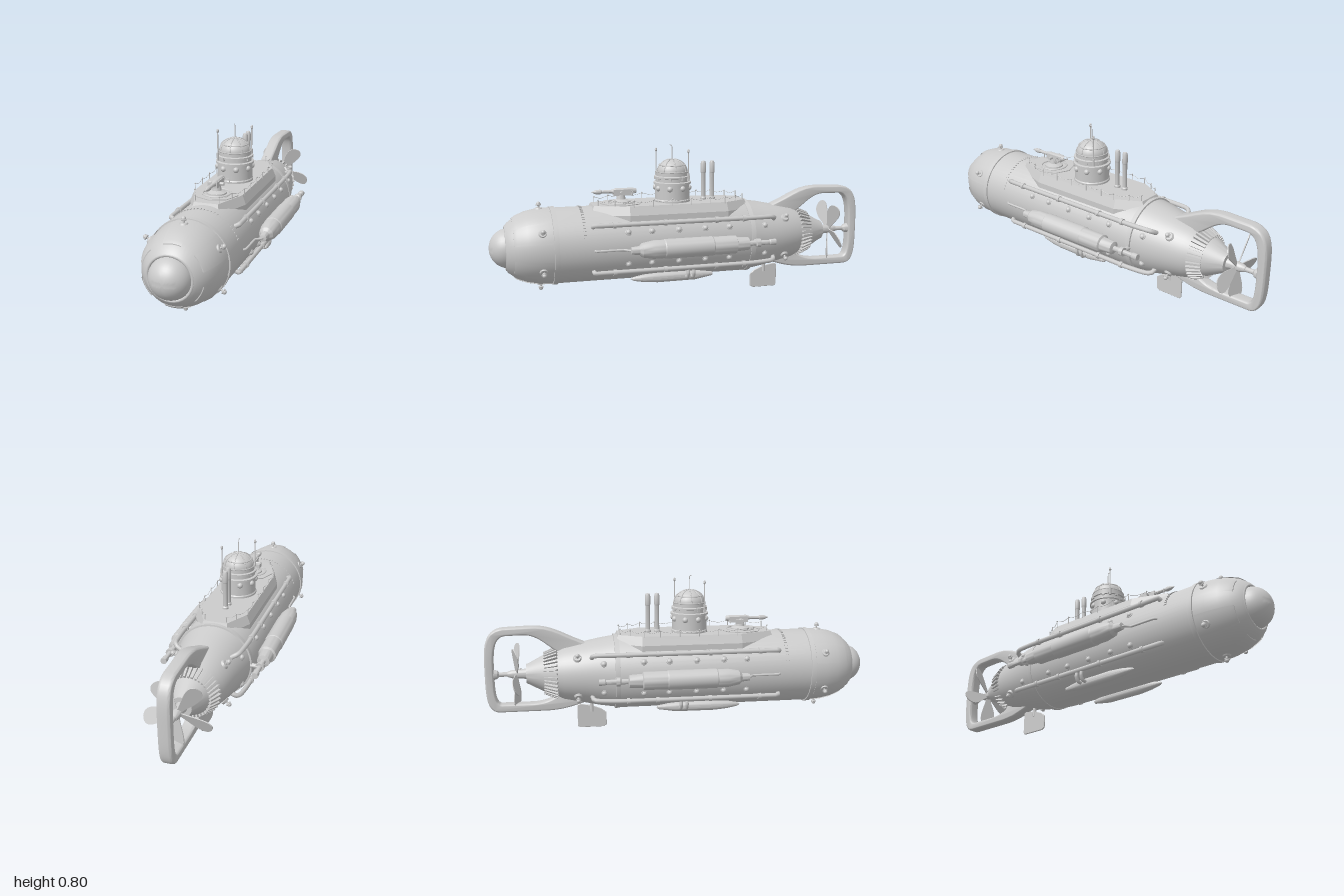
import * as THREE from 'three';
import { toCreasedNormals } from 'three/addons/utils/BufferGeometryUtils.js';

const AXIS = 0.305; // height of the hull axis
const R = 0.192; // hull radius
const mat = new THREE.MeshStandardMaterial({ color: 0xcccccc });
const matDouble = new THREE.MeshStandardMaterial({ color: 0xcccccc, side: THREE.DoubleSide });
const V = (x, y, z) => new THREE.Vector3(x, y, z);
const V2 = (p) => new THREE.Vector2(p[0], p[1]);

export function createModel() {
  const model = new THREE.Group();
  model.name = 'submarine';

  const add = (name, geo, x = 0, y = 0, z = 0, parent = model, m = mat) => {
    const mesh = new THREE.Mesh(geo, m);
    mesh.name = name;
    mesh.position.set(x, y, z);
    parent.add(mesh);
    return mesh;
  };
  const lathe = (pts, seg = 32, start = 0, len = Math.PI * 2) =>
    toCreasedNormals(new THREE.LatheGeometry(pts.map(V2), seg, start, len), 0.5);
  // profile of [radius, z], z ascending, turned about the z axis
  const latheZ = (pts, seg, start, len) => lathe(pts, seg, start, len).rotateX(Math.PI / 2);
  const tube = (name, pts, r, seg = 40, parent = model) => {
    const curve = new THREE.CatmullRomCurve3(pts.map((p) => V(...p)), false, 'catmullrom', 0.2);
    return add(name, new THREE.TubeGeometry(curve, seg, r, 8), 0, 0, 0, parent);
  };
  const rod = (name, a, b, r, parent = model) => {
    const A = V(...a), d = V(...b).sub(A);
    const mesh = add(name, new THREE.CylinderGeometry(r, r, d.length(), 10), 0, 0, 0, parent);
    mesh.position.copy(A).addScaledVector(d, 0.5);
    mesh.quaternion.setFromUnitVectors(V(0, 1, 0), d.normalize());
    return mesh;
  };
  // group on the hull skin whose local y points outward
  const onHull = (name, deg, r, z) => {
    const g = new THREE.Group(), t = THREE.MathUtils.degToRad(deg);
    g.name = name;
    g.position.set(r * Math.cos(t), AXIS + r * Math.sin(t), z);
    g.rotation.z = t - Math.PI / 2;
    model.add(g);
    return g;
  };

  // Pressure hull, bow window and bands
  add('hull', latheZ([[0, -0.79], [0.05, -0.79], [0.056, -0.775], [0.096, -0.7], [0.1, -0.69], [0.118, -0.64], [0.137, -0.6],
    [0.158, -0.5], [0.175, -0.42], [0.188, -0.335], [R, -0.32], [R, 0.69], [0.187, 0.76], [0.175, 0.82], [0.155, 0.87],
    [0.125, 0.91], [0.112, 0.92], [0.108, 0.915], [0, 0.915]], 48), 0, AXIS, 0);
  const bow = [];
  for (let i = 0; i <= 12; i++) {
    const a = (i / 12) * Math.PI / 2;
    bow.push([0.1 * Math.cos(a), 0.905 + 0.095 * Math.sin(a)]);
  }
  add('bowWindow', latheZ(bow, 32), 0, AXIS, 0);
  add('bowWindowFrame', new THREE.TorusGeometry(0.106, 0.008, 8, 32), 0, AXIS, 0.916);
  for (const [z, r] of [[0.685, R], [-0.33, 0.189]]) {
    add('hullBand', latheZ([[r - 0.01, -0.014], [r + 0.006, -0.012], [r + 0.006, 0.012], [r - 0.01, 0.014]], 48), 0, AXIS, z);
  }

  // Raised bow panels with a lamp on each
  const addLamp = (deg, r, z, s) => {
    const g = onHull('lamp', deg, r, z);
    add('lampBase', new THREE.CylinderGeometry(0.017 * s, 0.023 * s, 0.01, 16), 0, 0.003, 0, g);
    add('lampStem', new THREE.CylinderGeometry(0.005, 0.005, 0.024, 8), 0, 0.016, 0, g);
    add('lampHead', new THREE.SphereGeometry(0.011 * s, 12, 8), 0, 0.027, 0, g);
    add('lampCollar', new THREE.TorusGeometry(0.011 * s, 0.003, 6, 16).rotateX(Math.PI / 2), 0, 0.022, 0, g);
  };
  for (let i = 0; i < 6; i++) {
    const deg = 30 + i * 60, width = 0.58;
    const phi = THREE.MathUtils.degToRad(deg) + Math.PI / 2 - width / 2;
    add('bowPanel', latheZ([[0.188, 0.7], [0.194, 0.7], [0.192, 0.76], [0.18, 0.82], [0.16, 0.87], [0.148, 0.885], [0.14, 0.885]],
      8, phi, width), 0, AXIS, 0, model, matDouble);
    addLamp(deg, 0.189, 0.75, 1);
  }
  for (const deg of [40, 140, 220, 320]) addLamp(deg, 0.155, -0.53, 1);

  // Rivet rows and hull portholes
  for (let i = 0; i <= 28; i++) {
    const g = onHull('rivet', 20 + i * 5, R, 0.545);
    add('rivetHead', new THREE.BoxGeometry(0.005, 0.008, 0.014), 0, 0, 0, g);
  }
  for (const z of [0.33, 0.21, 0.07, -0.07, -0.2, -0.4]) {
    for (const deg of [25, 155, -25, -155]) {
      const g = onHull('porthole', deg, z < -0.33 ? 0.177 : R, z);
      add('portholeGlass', new THREE.SphereGeometry(0.014, 12, 8), 0, 0, 0, g);
      add('portholeRim', new THREE.TorusGeometry(0.014, 0.003, 6, 16).rotateX(Math.PI / 2), 0, 0.001, 0, g);
    }
  }

  // Stern ribs
  for (let i = 0; i < 36; i++) {
    const g = onHull('sternRib', i * 10, 0.115, -0.665);
    add('rib', new THREE.BoxGeometry(0.009, 0.018, 0.072), 0, 0, 0, g).rotation.x = -0.4;
  }

  // Propeller
  add('propellerHub', latheZ([[0, -0.89], [0.014, -0.885], [0.022, -0.86], [0.024, -0.81], [0.03, -0.78]], 20), 0, AXIS, 0);
  rod('propellerShaft', [0, AXIS, -0.78], [0, AXIS, -0.98], 0.012);
  const bladeShape = new THREE.Shape();
  bladeShape.moveTo(-0.01, 0);
  bladeShape.bezierCurveTo(-0.012, 0.05, -0.045, 0.08, -0.042, 0.13);
  bladeShape.bezierCurveTo(-0.04, 0.175, 0.025, 0.19, 0.036, 0.15);
  bladeShape.bezierCurveTo(0.045, 0.11, 0.012, 0.05, 0.01, 0);
  const bladeGeo = new THREE.ExtrudeGeometry(bladeShape, { depth: 0.005, bevelEnabled: false, curveSegments: 10 }).translate(0, 0, -0.0025);
  for (let i = 0; i < 5; i++) {
    const g = new THREE.Group();
    g.name = 'propellerBlade';
    g.position.set(0, AXIS, -0.84);
    g.rotation.z = Math.PI + (i * Math.PI * 2) / 5;
    add('blade', bladeGeo, 0, 0, 0, g).rotation.y = 0.4;
    model.add(g);
  }

  // Propeller guard: a side outline of [z, y] with an opening, extruded across x
  const guard = new THREE.Shape();
  guard.moveTo(-0.45, 0.44);
  guard.bezierCurveTo(-0.6, 0.49, -0.64, 0.545, -0.76, 0.545);
  guard.lineTo(-0.9, 0.54);
  guard.bezierCurveTo(-0.99, 0.53, -0.99, 0.45, -0.99, 0.33);
  guard.bezierCurveTo(-0.99, 0.2, -0.99, 0.12, -0.93, 0.118);
  guard.lineTo(-0.7, 0.118);
  guard.bezierCurveTo(-0.6, 0.118, -0.55, 0.14, -0.45, 0.17);
  const opening = new THREE.Path();
  opening.moveTo(-0.6, 0.41);
  opening.bezierCurveTo(-0.68, 0.46, -0.72, 0.52, -0.8, 0.52);
  opening.lineTo(-0.89, 0.518);
  opening.bezierCurveTo(-0.955, 0.51, -0.963, 0.43, -0.963, 0.33);
  opening.bezierCurveTo(-0.963, 0.22, -0.963, 0.145, -0.92, 0.142);
  opening.lineTo(-0.76, 0.142);
  opening.bezierCurveTo(-0.68, 0.145, -0.64, 0.17, -0.6, 0.21);
  guard.holes.push(opening);
  const guardGeo = new THREE.ExtrudeGeometry(guard, { depth: 0.034, bevelSize: 0.009, bevelThickness: 0.014, bevelSegments: 4, curveSegments: 14 });
  add('propellerGuard', toCreasedNormals(guardGeo.translate(0, 0, -0.017).rotateY(-Math.PI / 2), 0.7));
  add('shaftBearing', latheZ([[0, -0.03], [0.024, -0.02], [0.03, 0], [0.022, 0.03], [0.012, 0.04]], 20), 0, AXIS, -0.968);

  // Rudder below the hull
  const rudder = new THREE.Shape([[-0.385, 0.015], [-0.4, 0.006], [-0.525, 0.006], [-0.533, 0.015], [-0.533, 0.125],
    [-0.52, 0.13], [-0.46, 0.12], [-0.41, 0.1], [-0.385, 0.08]].map(V2));
  add('rudder', new THREE.ExtrudeGeometry(rudder, { depth: 0.005, bevelSize: 0.002, bevelThickness: 0.002, bevelSegments: 1 })
    .translate(0, 0, -0.0025).rotateY(-Math.PI / 2));
  rod('rudderPost', [0, 0.09, -0.46], [0, 0.2, -0.46], 0.01);

  // Deck casing
  const deck = [[0.06, 0.48], [0.125, 0.31], [0.125, -0.2], [0.06, -0.32]];
  const outline = [...deck, ...deck.map(([x, z]) => [-x, z]).reverse()];
  const deckGeo = new THREE.ExtrudeGeometry(new THREE.Shape(outline.map(([x, z]) => V2([x, -z]))),
    { depth: 0.03, bevelSize: 0.018, bevelThickness: 0.045, bevelSegments: 1 });
  add('deck', deckGeo.rotateX(-Math.PI / 2), 0, 0.431, 0);
  add('deckPlate', new THREE.CylinderGeometry(0.11, 0.11, 0.006, 8), 0, 0.507, 0.33);

  // Deck railing on both sides
  for (const s of [-1, 1]) {
    const posts = [[0.06, 0.46], [0.095, 0.38], [0.128, 0.29], [0.128, 0.19], [0.128, 0.09], [0.128, -0.01], [0.128, -0.11], [0.128, -0.19], [0.09, -0.26], [0.055, -0.31]];
    posts.forEach(([x, z], i) => {
      rod('railPost', [s * x, 0.5, z], [s * x, 0.534, z], 0.002);
      add('railKnob', new THREE.SphereGeometry(0.004, 8, 6), s * x, 0.535, z);
      if (!i) return;
      const [px, pz] = posts[i - 1];
      tube('railWire', [[s * px, 0.532, pz], [s * (px + x) / 2, 0.522, (pz + z) / 2], [s * x, 0.532, z]], 0.0012, 6);
    });
  }

  // Conning tower with dome, ribs, portholes and aerials
  const tower = new THREE.Group();
  tower.name = 'conningTower';
  tower.position.set(0, 0, 0.058);
  model.add(tower);
  add('towerBody', lathe([[0.094, 0.49], [0.094, 0.515], [0.09, 0.52], [0.09, 0.597], [0.098, 0.598], [0.098, 0.607], [0.086, 0.61],
    [0.086, 0.626], [0.093, 0.628], [0.093, 0.637], [0.084, 0.64], [0.084, 0.66], [0, 0.66]], 36), 0, 0, 0, tower);
  add('dome', new THREE.SphereGeometry(0.08, 32, 12, 0, Math.PI * 2, 0, Math.PI / 2).scale(1, 0.82, 1), 0, 0.658, 0, tower);
  for (let i = 0; i < 4; i++) {
    add('domeRib', new THREE.TorusGeometry(0.081, 0.0028, 6, 24, Math.PI).scale(1, 0.82, 1), 0, 0.658, 0, tower).rotation.y = (i * Math.PI) / 4;
  }
  for (const [r, y] of [[0.083, 0.66], [0.068, 0.694]]) {
    add('domeRing', new THREE.TorusGeometry(r, 0.003, 6, 36).rotateX(Math.PI / 2), 0, y, 0, tower);
  }
  for (let i = 0; i < 8; i++) {
    const a = ((i + 0.5) * Math.PI) / 4;
    add('towerPorthole', new THREE.SphereGeometry(0.015, 12, 10), 0.087 * Math.sin(a), 0.577, 0.087 * Math.cos(a), tower);
    add('towerBracket', new THREE.BoxGeometry(0.014, 0.018, 0.014), 0.087 * Math.sin(a), 0.628, 0.087 * Math.cos(a), tower).rotation.y = a;
  }
  for (const s of [-1, 1]) {
    rod('aerial', [s * 0.068, 0.62, -s * 0.068], [s * 0.068, 0.765, -s * 0.068], 0.0028, tower);
    add('aerialBase', new THREE.CylinderGeometry(0.006, 0.006, 0.04, 8), s * 0.068, 0.635, -s * 0.068, tower);
    add('aerialTip', lathe([[0, 0.752], [0.007, 0.766], [0.005, 0.776], [0, 0.78]], 10), s * 0.068, 0, -s * 0.068, tower);
  }
  tube('mast', [[0, 0.71, 0], [0, 0.775, 0], [0, 0.795, 0.002], [0, 0.798, 0.014]], 0.0022, 20, tower);

  // Twin periscope tubes
  for (const z of [-0.112, -0.16]) {
    add('periscope', lathe([[0.016, 0.5], [0.016, 0.515], [0.012, 0.52], [0.012, 0.645], [0.014, 0.65], [0.014, 0.695],
      [0.01, 0.707], [0, 0.711]], 16), 0, 0, z);
  }

  // Deck gun
  const gun = new THREE.Group();
  gun.name = 'deckGun';
  gun.position.set(0, 0.505, 0.33);
  model.add(gun);
  add('gunRing', new THREE.TorusGeometry(0.068, 0.005, 8, 28).rotateX(Math.PI / 2), 0, 0.006, 0, gun);
  add('gunPedestal', lathe([[0.05, 0], [0.048, 0.012], [0.024, 0.022], [0.02, 0.045], [0, 0.045]], 20), 0, 0, 0, gun);
  add('gunBody', new THREE.BoxGeometry(0.034, 0.03, 0.1), 0, 0.056, -0.01, gun);
  add('gunBarrel', latheZ([[0.012, -0.08], [0.016, -0.06], [0.016, 0.03], [0.009, 0.05], [0.008, 0.1], [0.012, 0.105], [0.011, 0.13], [0, 0.155]], 14), 0, 0.062, 0, gun);
  rod('gunTrunnion', [-0.038, 0.055, 0], [0.038, 0.055, 0], 0.008, gun);
  add('gunSightBox', new THREE.BoxGeometry(0.02, 0.022, 0.04), -0.034, 0.048, -0.01, gun);
  add('gunHandwheel', new THREE.TorusGeometry(0.014, 0.002, 6, 16), 0.034, 0.055, -0.05, gun);
  rod('gunGrip', [-0.045, 0.045, -0.06], [0.034, 0.055, -0.06], 0.003, gun);

  // Side fittings, mirrored
  for (const s of [-1, 1]) {
    add('sideTank', latheZ([[0, -0.43], [0.016, -0.43], [0.016, -0.4], [0.012, -0.395], [0.012, -0.345], [0.022, -0.345], [0.022, -0.325],
      [0.013, -0.32], [0.013, -0.285], [0.032, -0.28], [0.036, -0.215], [0.046, -0.21], [0.046, -0.09], [0.049, -0.085], [0.049, 0.16],
      [0.046, 0.165], [0.046, 0.22], [0.036, 0.275], [0.022, 0.29], [0.018, 0.33], [0, 0.335]], 28), s * 0.235, AXIS, 0);
    tube('tankPipe', [[s * 0.235, AXIS, 0.3], [s * 0.233, AXIS, 0.335], [s * 0.205, AXIS, 0.36], [s * 0.203, AXIS, 0.49], [s * 0.18, AXIS, 0.505]], 0.006);
    for (const z of [-0.335, -0.13, 0.13]) rod('tankStrut', [s * 0.16, AXIS, z], [s * 0.225, AXIS, z], 0.012);

    // Long pipes along the hull
    tube('upperPipe', [[s * 0.14, 0.41, 0.505], [s * 0.17, 0.425, 0.5], [s * 0.172, 0.425, 0.46], [s * 0.172, 0.425, -0.3],
      [s * 0.165, 0.425, -0.43], [s * 0.15, 0.418, -0.455], [s * 0.12, 0.4, -0.46]], 0.012, 60);
    tube('lowerPipe', [[s * 0.14, 0.2, 0.505], [s * 0.17, 0.186, 0.5], [s * 0.172, 0.185, 0.46], [s * 0.172, 0.185, -0.3],
      [s * 0.165, 0.19, -0.43], [s * 0.15, 0.195, -0.455], [s * 0.12, 0.21, -0.46]], 0.012, 60);
    for (const z of [0.4, 0.14, -0.13, -0.28]) {
      for (const y of [0.425, 0.185]) {
        add('pipeClamp', new THREE.CylinderGeometry(0.016, 0.016, 0.016, 12).rotateX(Math.PI / 2), s * 0.172, y, z);
      }
    }

    // Small torpedo under the hull, with its holder
    add('torpedo', latheZ([[0, -0.13], [0.01, -0.125], [0.014, -0.1], [0.025, -0.03], [0.026, 0.17], [0.02, 0.24], [0.01, 0.295], [0, 0.31]], 20), s * 0.115, 0.13, 0);
    for (const z of [0.02, -0.01]) {
      tube('torpedoHolder', [[s * 0.165, 0.19, z], [s * 0.172, 0.155, z], [s * 0.16, 0.132, z], [s * 0.12, 0.13, z]], 0.009, 16);
    }
  }
  return model;
}
